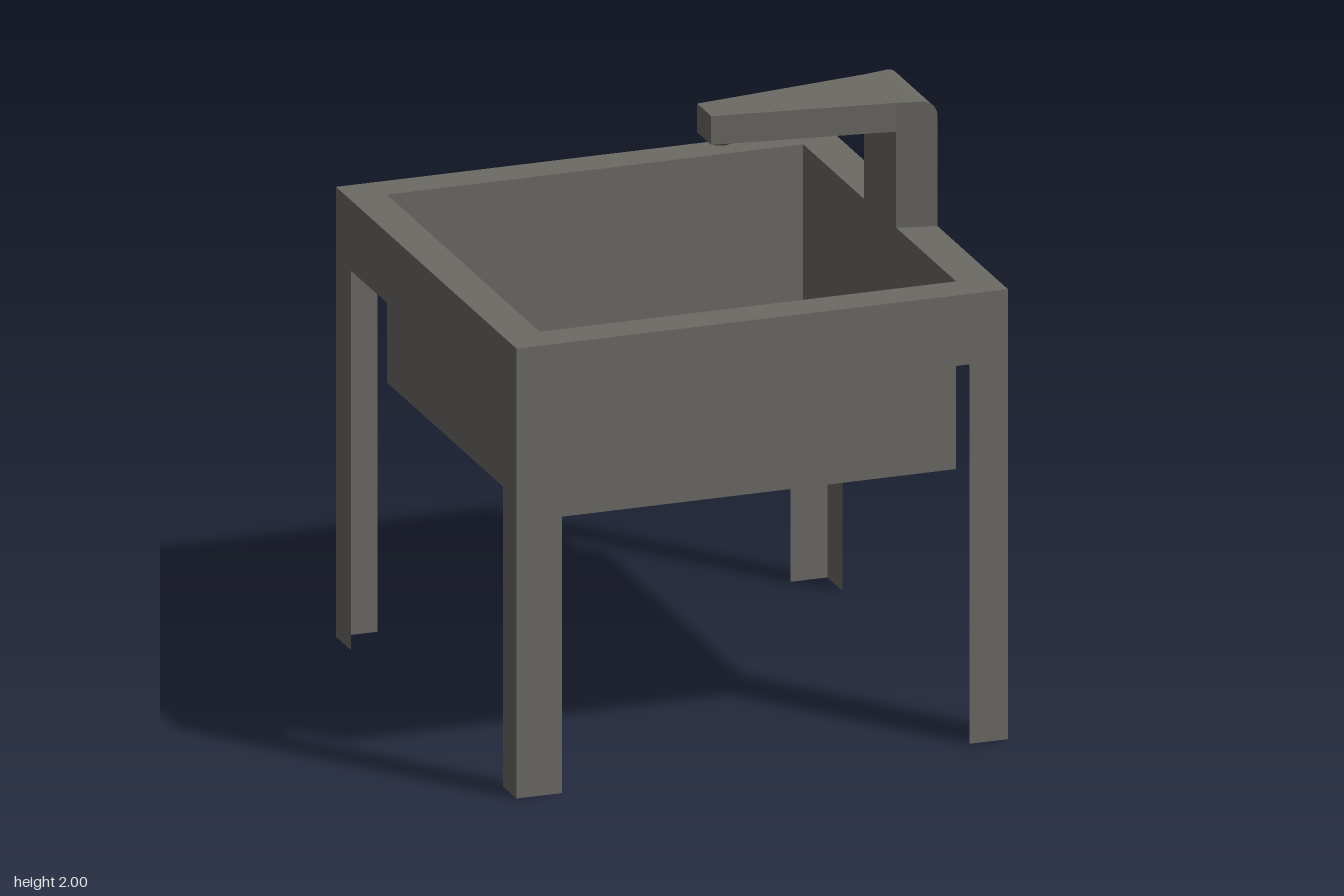
import * as THREE from 'three';

const HALF = 0.86;      // half width of the stand
const RIM = 1.565;      // height of the rim
const APRON = 1.32;     // lower edge of the apron
const BASIN = 0.912;    // underside of the basin
const INNER = [-0.73, 0.727]; // extent of the basin along x and z

const GREY = 0x6b6a65;
const sheet = new THREE.MeshStandardMaterial({ color: GREY, side: THREE.DoubleSide });
const solid = new THREE.MeshStandardMaterial({ color: GREY, flatShading: true });

function polygon(points) {
  return new THREE.Shape(points.map(([x, y]) => new THREE.Vector2(x, y)));
}

function add(group, name, geometry, material) {
  const mesh = new THREE.Mesh(geometry, material);
  mesh.name = name;
  group.add(mesh);
  return mesh;
}

// One thin side sheet: an apron with a leg strip at each end
function sidePanel(group, name, leftLeg, rightLeg, angle) {
  const l = -HALF + leftLeg, r = HALF - rightLeg;
  const shape = polygon([
    [-HALF, 0], [l, 0], [l, APRON], [r, APRON],
    [r, 0], [HALF, 0], [HALF, RIM], [-HALF, RIM],
  ]);
  const geometry = new THREE.ShapeGeometry(shape).translate(0, 0, HALF).rotateY(angle);
  add(group, name, geometry, sheet);
}

// Half width of the tap along x: narrow at the spout, wide at the post
function tapHalfWidth(x) {
  return x < 0.725
    ? THREE.MathUtils.mapLinear(x, 0.11, 0.725, 0.067, 0.152)
    : THREE.MathUtils.mapLinear(x, 0.725, HALF, 0.152, 0.181);
}

function tapGeometry() {
  const shape = new THREE.Shape();
  shape.moveTo(HALF, RIM);
  shape.lineTo(HALF, 1.95);
  shape.absarc(HALF - 0.05, 1.95, 0.05, 0, Math.PI / 2, false);
  shape.lineTo(0.725, 2);
  shape.lineTo(0.11, 2);
  shape.lineTo(0.11, 1.9);
  shape.lineTo(0.725, 1.9);
  shape.lineTo(0.725, RIM);
  shape.closePath();
  const geometry = new THREE.ExtrudeGeometry(shape, { depth: 2, bevelEnabled: false, curveSegments: 6 });
  geometry.translate(0, 0, -1);
  const p = geometry.attributes.position;
  for (let i = 0; i < p.count; i++) p.setZ(i, p.getZ(i) * tapHalfWidth(p.getX(i)) + 0.007);
  geometry.computeVertexNormals();
  return geometry;
}

export function createModel() {
  const model = new THREE.Group();
  model.name = 'washStand';

  // Four sides with legs
  sidePanel(model, 'frontPanel', 0.16, 0.135, 0);
  sidePanel(model, 'leftPanel', 0.128, 0.145, Math.PI / 2);
  sidePanel(model, 'backPanel', 0.13, 0.145, Math.PI);
  sidePanel(model, 'rightPanel', 0.145, 0.128, -Math.PI / 2);

  // Flat rim around the basin opening; wound so that it faces up
  const [lo, hi] = INNER;
  const square = (a, b, c, d) => polygon([[a, c], [b, c], [b, d], [a, d]]);
  const rim = square(-HALF, HALF, -HALF, HALF);
  rim.holes.push(square(lo, hi, -hi, -lo));
  add(model, 'rim', new THREE.ShapeGeometry(rim).rotateX(-Math.PI / 2).translate(0, RIM, 0), sheet);

  // Basin: a thin box without its top face
  const depth = RIM - BASIN, mid = (lo + hi) / 2;
  const box = new THREE.BoxGeometry(hi - lo, depth, hi - lo);
  box.setIndex([...box.index.array].filter((_, i) => i < 12 || i >= 18));
  box.clearGroups();
  add(model, 'basin', box, sheet).position.set(mid, BASIN + depth / 2, mid);

  // Tap and its outlet
  add(model, 'tap', tapGeometry(), solid);
  add(model, 'outlet', new THREE.CylinderGeometry(0.055, 0.035, 0.02, 16), solid).position.set(0.168, 1.89, 0.005);

  return model;
}
